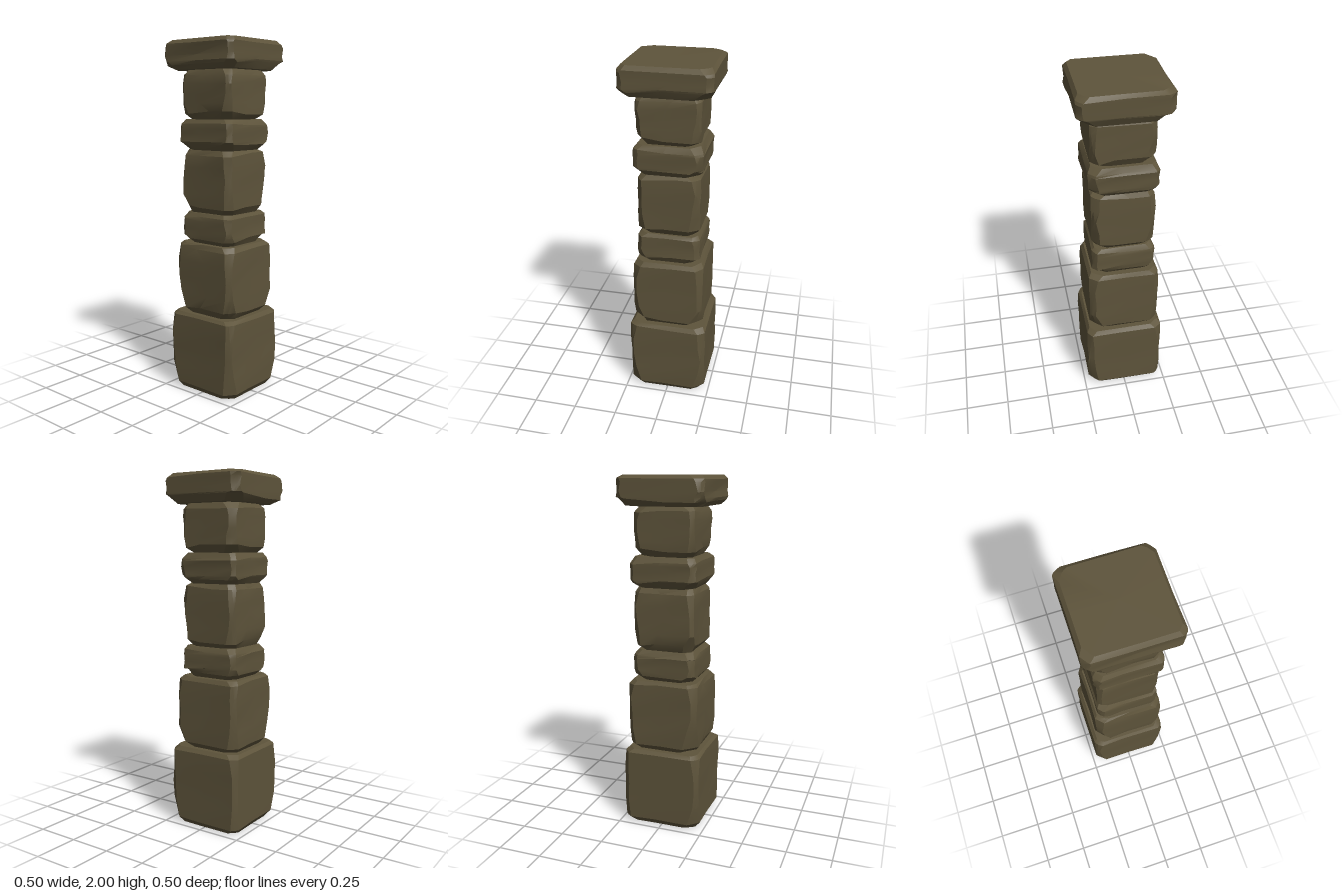
import * as THREE from 'three';
import { toCreasedNormals } from 'three/addons/utils/BufferGeometryUtils.js';

const stoneMaterial = new THREE.MeshStandardMaterial({ color: 0x5e543b });

// Small seeded generator so every block is chipped differently but repeatably
function seeded(seed) {
  let s = seed * 7919 + 17;
  return () => (s = (s * 16807) % 2147483647) / 2147483647;
}

// Roughly squared block: stacked rings with four chipped corners each
function stoneGeometry(half, y0, y1, seed) {
  const rnd = seeded(seed);
  for (let i = 0; i < 5; i++) rnd();
  const h = y1 - y0;
  const edge = Math.min(0.035, h * 0.2);
  // [height, inset of the sides, typical corner cut]
  const levels = [
    [0, 0.028, 0.055],
    [edge, 0.003, 0.05],
    [h * 0.3, 0, 0.034],
    [h * 0.52, 0.003, 0.026],
    [h * 0.74, 0, 0.03],
    [h - edge * 0.7, 0.002, 0.036],
    [h, 0.02, 0.042],
  ];
  const cornerScale = [0, 1, 2, 3].map(() => 0.75 + 0.5 * rnd());
  const positions = [];
  const indices = [];
  const ringSize = 16;

  levels.forEach(([y, inset, cut], level) => {
    const outer = level === 0 || level === levels.length - 1;
    for (let c = 0; c < 4; c++) {
      const r = half - inset - rnd() * 0.004;
      const c1 = cut * cornerScale[c] * (0.7 + 0.6 * rnd());
      const c2 = cut * cornerScale[c] * (0.7 + 0.6 * rnd());
      const bulge = 0.38 + 0.14 * rnd();
      const corner = [
        [r, r - c1],
        [r - c1 * bulge, r - c2 * bulge],
        [r - c2, r],
        [(rnd() - 0.5) * 0.1, r - (outer ? 0 : rnd() * 0.006)],
      ];
      const dy = outer ? 0 : (rnd() - 0.5) * edge * 0.6;
      for (let [x, z] of corner) {
        for (let q = 0; q < c; q++) [x, z] = [-z, x];
        positions.push(x, y0 + y + dy, z);
      }
    }
  });

  // Side walls
  for (let l = 0; l < levels.length - 1; l++) {
    for (let i = 0; i < ringSize; i++) {
      const a = l * ringSize + i;
      const b = l * ringSize + ((i + 1) % ringSize);
      indices.push(a, a + ringSize, b, b, a + ringSize, b + ringSize);
    }
  }
  // Bottom and top
  const bottom = positions.length / 3;
  positions.push(0, y0, 0, 0, y1, 0);
  const last = (levels.length - 1) * ringSize;
  for (let i = 0; i < ringSize; i++) {
    const j = (i + 1) % ringSize;
    indices.push(bottom, i, j, bottom + 1, last + j, last + i);
  }

  const geometry = new THREE.BufferGeometry();
  geometry.setAttribute('position', new THREE.Float32BufferAttribute(positions, 3));
  geometry.setIndex(indices);
  return toCreasedNormals(geometry, 0.4);
}

export function createModel() {
  const pillar = new THREE.Group();
  pillar.name = 'stonePillar';

  // [name, half width, bottom, top]
  const stones = [
    ['baseStone', 0.229, 0, 0.46],
    ['lowerStone', 0.206, 0.46, 0.87],
    ['lowerBand', 0.182, 0.87, 1.045],
    ['middleStone', 0.178, 1.045, 1.4],
    ['upperBand', 0.192, 1.4, 1.57],
    ['upperStone', 0.178, 1.57, 1.84],
    ['capStone', 0.25, 1.84, 2],
  ];
  stones.forEach(([name, half, y0, y1], i) => {
    const mesh = new THREE.Mesh(stoneGeometry(half, y0, y1, i + 3), stoneMaterial);
    mesh.name = name;
    pillar.add(mesh);
  });
  return pillar;
}
